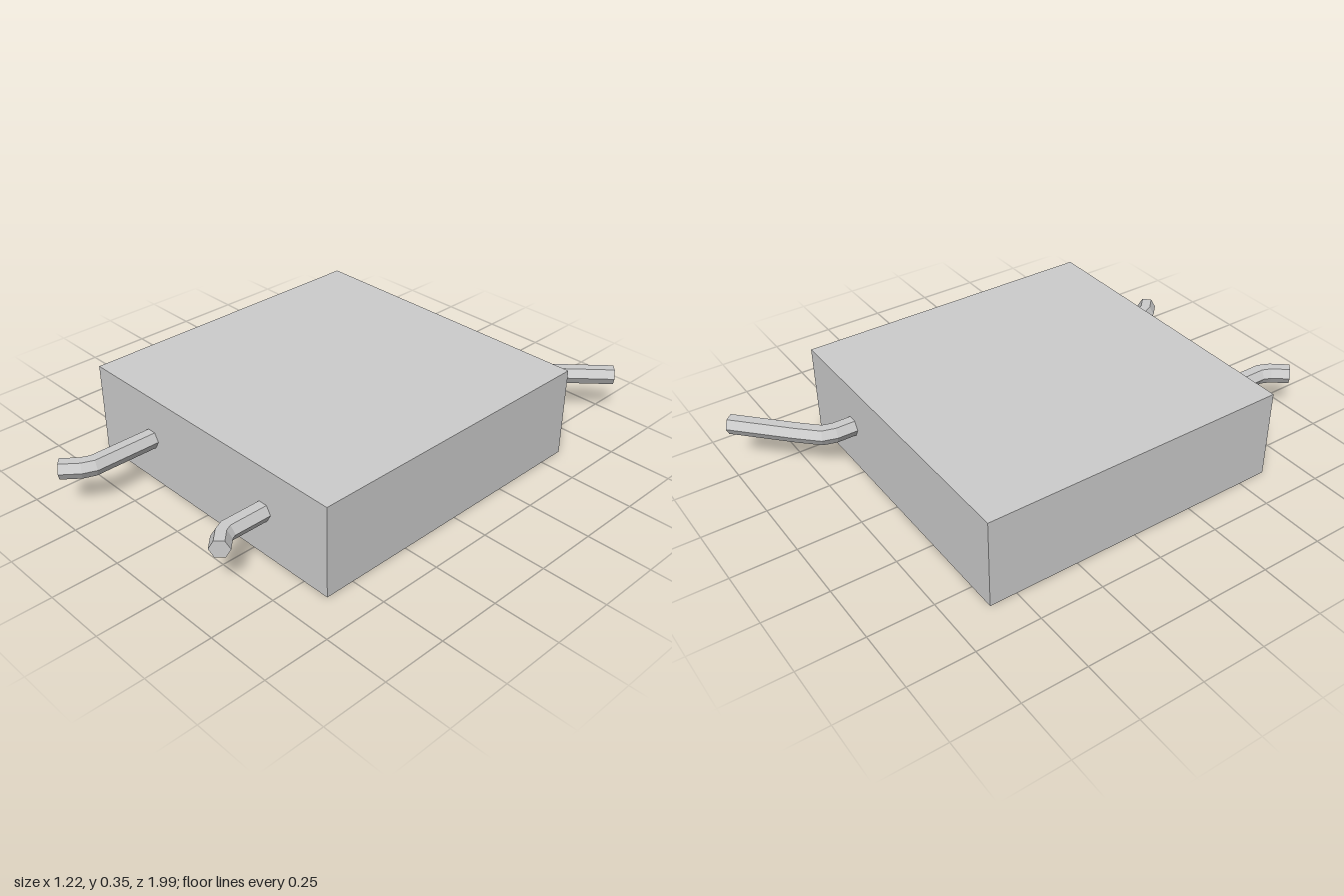
import * as THREE from 'three';

const material = new THREE.MeshStandardMaterial({ color: 0xcccccc, flatShading: true });
const SIDES = 6;
const RADIUS = 0.037;
const ROD_Y = 0.18;

// Closed hexagonal rod with mitred bends along a level path of [x, z] points
function rodGeometry(path) {
  const points = path.map(([x, z]) => new THREE.Vector3(x, ROD_Y, z));
  const directions = points.slice(1).map((p, i) => p.clone().sub(points[i]).normalize());
  const positions = [];
  const index = [];

  points.forEach((p, i) => {
    const before = directions[Math.max(i - 1, 0)];
    const after = directions[Math.min(i, directions.length - 1)];
    const t = before.clone().add(after).normalize();
    const stretch = RADIUS / t.dot(after);
    for (let k = 0; k < SIDES; k++) {
      const angle = (k / SIDES) * Math.PI * 2;
      const across = Math.cos(angle) * stretch;
      positions.push(p.x + t.z * across, p.y + Math.sin(angle) * RADIUS, p.z - t.x * across);
    }
  });

  // Side faces
  for (let i = 0; i < points.length - 1; i++) {
    for (let k = 0; k < SIDES; k++) {
      const a = i * SIDES + k;
      const b = i * SIDES + ((k + 1) % SIDES);
      index.push(a, b, b + SIDES, a, b + SIDES, a + SIDES);
    }
  }
  // End caps
  const last = (points.length - 1) * SIDES;
  for (let k = 1; k < SIDES - 1; k++) {
    index.push(0, k + 1, k, last, last + k, last + k + 1);
  }

  const indexed = new THREE.BufferGeometry();
  indexed.setAttribute('position', new THREE.Float32BufferAttribute(positions, 3));
  indexed.setIndex(index);
  const geometry = indexed.toNonIndexed();
  geometry.computeVertexNormals();
  return geometry;
}

export function createModel() {
  const model = new THREE.Group();
  model.name = 'boxWithBentRods';

  // Flat rectangular body
  const body = new THREE.Mesh(new THREE.BoxGeometry(1.22, 0.355, 1.22), material);
  body.name = 'body';
  body.position.set(0, 0.1775, 0.005);
  model.add(body);

  // Bent rods, two at the front and one at the back
  const rods = {
    frontRightRod: [[-0.305, 0.61], [-0.305, 0.865], [-0.322, 0.905], [-0.37, 0.964]],
    frontLeftRod: [[0.305, 0.61], [0.305, 0.77], [0.32, 0.802], [0.363, 0.845]],
    backLeftRod: [[0.305, -0.6], [0.305, -0.68], [0.318, -0.724], [0.384, -0.791], [0.578, -0.973]],
  };
  for (const [name, path] of Object.entries(rods)) {
    const rod = new THREE.Mesh(rodGeometry(path), material);
    rod.name = name;
    model.add(rod);
  }

  return model;
}
